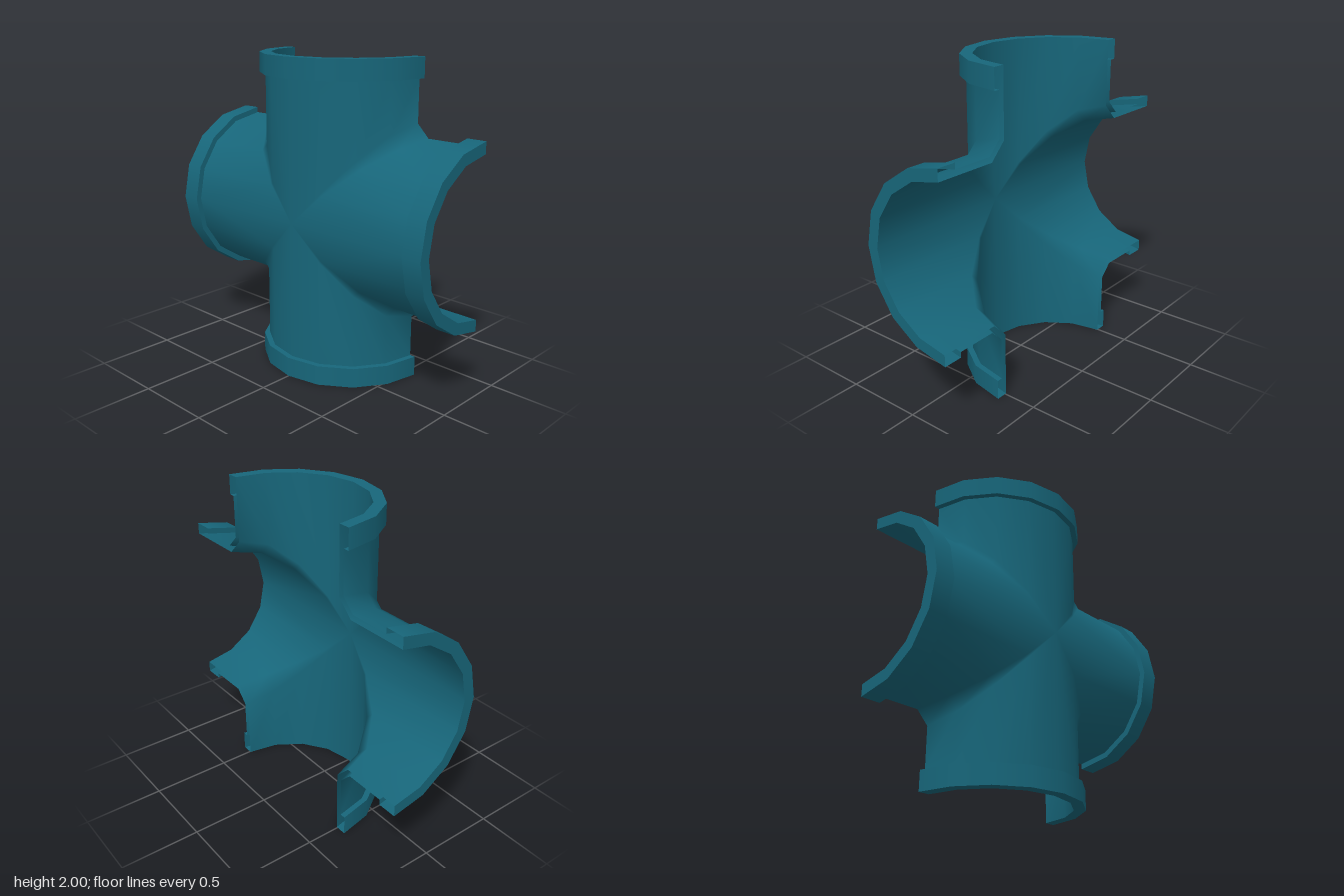
import * as THREE from 'three';
import { mergeVertices } from 'three/addons/utils/BufferGeometryUtils.js';

const OUTER = 0.53, INNER = 0.493, RIM = 0.566; // pipe and collar radii
const COLLAR = 0.875;                           // where each collar starts along its arm
const STEPS = 4;                                // facets per quarter turn

// Skin of two crossing half pipes with bevelled inside corners, open at the cut plane.
function crossSkin(radius, end, bevel, inward) {
  const positions = [];
  for (const sx of [1, -1]) for (const sy of [1, -1]) {
    const rows = [];
    for (let i = 0; i <= STEPS; i++) {
      const angle = (i / STEPS) * Math.PI / 2;
      const s = Math.sin(angle), d = radius * s, c = bevel * s * s;
      const z = radius * Math.cos(angle);
      rows.push([[end, d], [d + c, d], [d, d + c], [d, end]]
        .map(([x, y]) => [sx * x, sy * y, z]));
    }
    const flip = (sx * sy < 0) !== inward;
    const tri = (a, b, c) => positions.push(...a, ...(flip ? c : b), ...(flip ? b : c));
    for (let i = 0; i < STEPS; i++) for (let j = 0; j < 3; j++) {
      tri(rows[i][j], rows[i + 1][j], rows[i + 1][j + 1]);
      // the bevel strip closes to a point at the middle
      if (i > 0 || j !== 1) tri(rows[i][j], rows[i + 1][j + 1], rows[i][j + 1]);
    }
  }
  const geometry = new THREE.BufferGeometry();
  geometry.setAttribute('position', new THREE.Float32BufferAttribute(positions, 3));
  const merged = mergeVertices(geometry, 1e-4);
  merged.computeVertexNormals();
  return merged;
}

export function createModel() {
  const model = new THREE.Group();
  model.name = 'halfPipeCross';
  const material = new THREE.MeshStandardMaterial({ color: 0x17667a, side: THREE.DoubleSide });
  const add = (parent, geometry, name) => {
    const mesh = new THREE.Mesh(geometry, material);
    mesh.name = name;
    parent.add(mesh);
  };

  const body = new THREE.Group();
  body.name = 'body';
  body.position.set(0, 1, -RIM / 2);
  model.add(body);

  // Outer and inner walls
  add(body, crossSkin(OUTER, COLLAR, 0.08, false), 'outerWall');
  add(body, crossSkin(INNER, 1, 0.1, true), 'innerWall');

  // Collars: step, band and end face, kept apart so their edges stay sharp
  const profile = [[OUTER, COLLAR], [RIM, COLLAR], [RIM, 1], [INNER, 1]]
    .map(([r, y]) => new THREE.Vector2(r, y));
  const bands = ['collarStep', 'collarBand', 'collarEnd'].map((name, i) => ({
    name,
    geometry: new THREE.LatheGeometry([profile[i], profile[i + 1]], STEPS * 2, -Math.PI / 2, Math.PI),
  }));
  ['topCollar', 'rightCollar', 'bottomCollar', 'leftCollar'].forEach((name, k) => {
    const collar = new THREE.Group();
    collar.name = name;
    collar.rotation.z = k * Math.PI / 2;
    bands.forEach(b => add(collar, b.geometry, b.name));
    body.add(collar);
  });

  return model;
}
